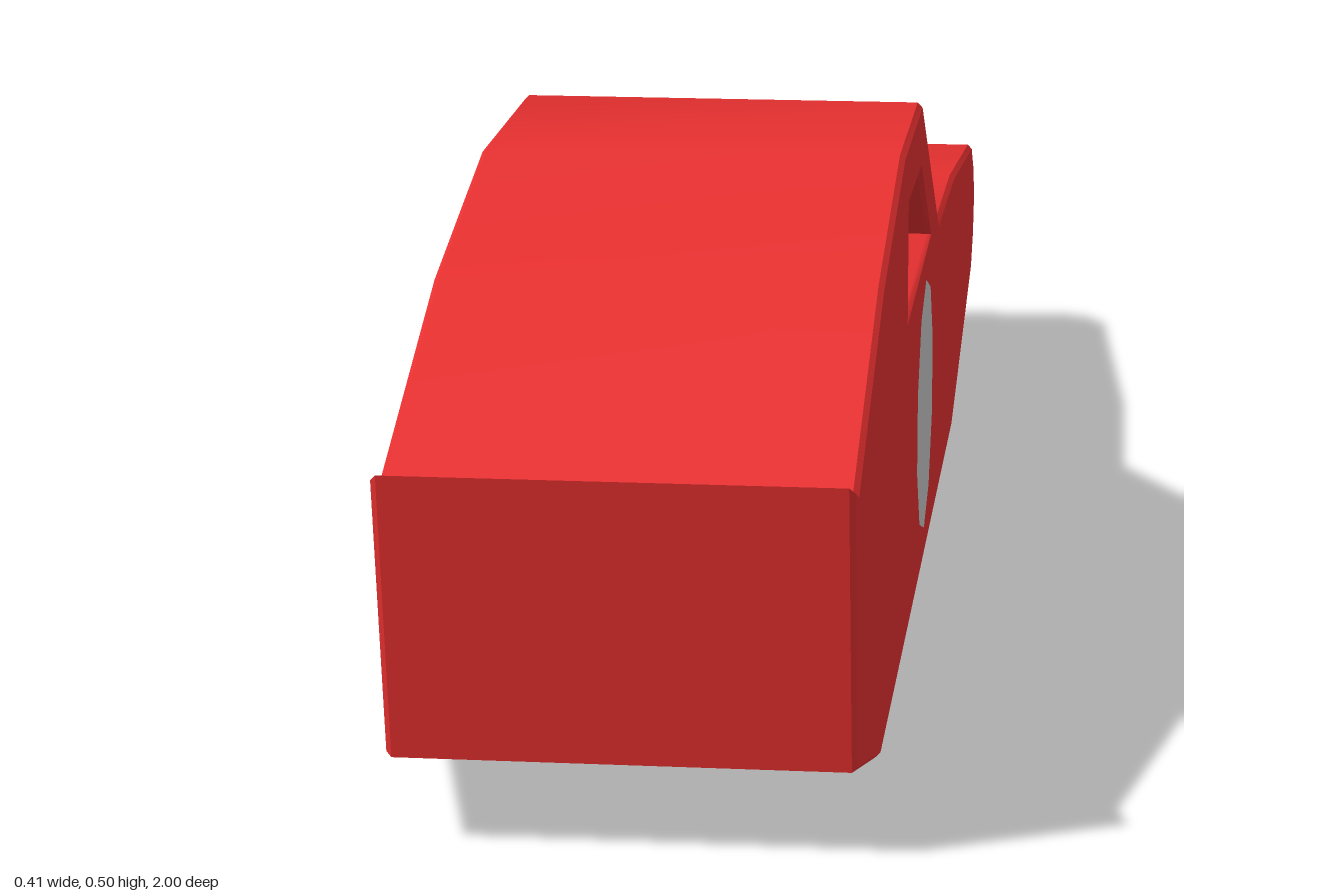
import * as THREE from 'three';
import { toCreasedNormals } from 'three/addons/utils/BufferGeometryUtils.js';

const BEVEL = 0.005;
const HALF_WIDTH = 0.202;
const red = new THREE.MeshStandardMaterial({ color: 0xe83030 });
const grey = new THREE.MeshStandardMaterial({ color: 0xcccccc });

const toPoints = (list) => list.map(([a, b]) => new THREE.Vector2(a, b));

// Extrudes a shape with a small chamfer kept inside the outline, centred on depth
function chamferedSlab(shape, thickness) {
  const geometry = new THREE.ExtrudeGeometry(shape, {
    depth: thickness - 2 * BEVEL,
    bevelEnabled: true,
    bevelSegments: 1,
    bevelSize: BEVEL,
    bevelThickness: BEVEL,
    bevelOffset: -BEVEL,
  });
  geometry.translate(0, 0, BEVEL - thickness / 2);
  return toCreasedNormals(geometry, 0.6);
}

function addMesh(group, name, geometry, material) {
  const mesh = new THREE.Mesh(geometry, material);
  mesh.name = name;
  group.add(mesh);
  return mesh;
}

export function createModel() {
  const car = new THREE.Group();
  car.name = 'blockCar';

  // Side profile as (z, y), with the cabin window cut right through
  const profile = new THREE.Shape(toPoints([
    [0.67, 0], [0.95, 0.083], [1, 0.346], [0.955, 0.331],
    [0.67, 0.441], [0.39, 0.503], [0.12, 0.503], [-0.2, 0.311],
    [-0.5, 0.302], [-0.92, 0.255], [-0.972, 0.22], [-0.996, 0.185],
    [-0.996, 0.155], [-0.98, 0.125], [-0.94, 0.092], [-0.51, 0],
  ]));
  profile.holes.push(new THREE.Path(toPoints([
    [0.325, 0.328], [0.325, 0.441], [0.13, 0.436], [-0.045, 0.332],
  ])));
  const bodyGeometry = chamferedSlab(profile, HALF_WIDTH * 2);
  bodyGeometry.rotateY(-Math.PI / 2);
  addMesh(car, 'body', bodyGeometry, red);

  // Raised panel on the deck, following its slight slope
  const outline = new THREE.Shape(toPoints([
    [-0.16, -0.121], [0.16, -0.121], [0.16, 0.121], [-0.16, 0.121],
  ]));
  const panelGeometry = chamferedSlab(outline, 0.04);
  panelGeometry.rotateX(-Math.PI / 2);
  const panel = addMesh(car, 'deckPanel', panelGeometry, red);
  panel.position.set(0, 0.313, -0.355);
  panel.rotation.x = -0.02;

  // Ten-sided roundel on each flank
  for (const side of [-1, 1]) {
    const disc = addMesh(car, side > 0 ? 'leftRoundel' : 'rightRoundel',
      new THREE.CircleGeometry(0.133, 10, Math.PI / 2), grey);
    disc.rotation.y = side * Math.PI / 2;
    disc.position.set(side * (HALF_WIDTH + 0.001), 0.17, 0.043);
  }

  return car;
}
